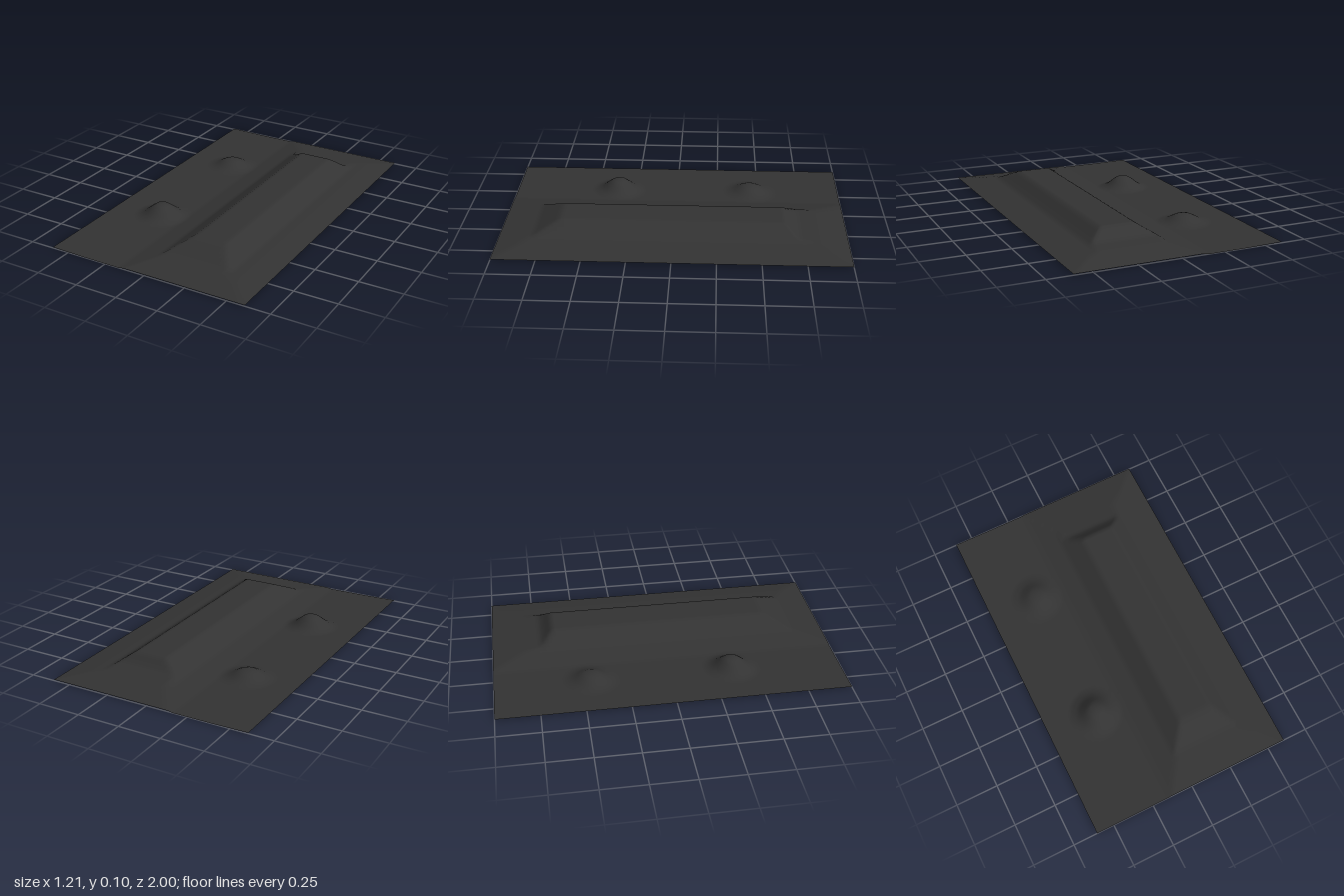
import * as THREE from 'three';

// Piecewise-linear profile through [position, height] points
function profile(points, t) {
  if (t <= points[0][0]) return points[0][1];
  for (let i = 1; i < points.length; i++) {
    const [a, ha] = points[i - 1];
    const [b, hb] = points[i];
    if (t <= b) return ha + (hb - ha) * (t - a) / (b - a);
  }
  return points[points.length - 1][1];
}

// Long raised ridge: cross-section and lengthwise section
const ridgeAcross = [[-0.6, 0.009], [-0.4, 0.005], [-0.16, 0.004], [-0.02, 0.034],
  [0.1, 0.108], [0.3, 0.108], [0.4, 0.037], [0.48, 0.029], [0.6, 0.01]];
const ridgeAlong = [[-1, 0.01], [-0.82, 0.037], [-0.71, 0.05], [-0.64, 0.108],
  [0.65, 0.108], [0.8, 0.04], [1, 0.01]];

// Two small round bumps: share of the full height by distance from the centre
const bumpSection = [[0, 1], [0.045, 0.87], [0.105, 0.22], [0.15, 0]];
const bumps = [{ x: -0.305, z: 0.365, h: 0.075 }, { x: -0.305, z: -0.45, h: 0.05 }];

function heightAt(x, z) {
  let y = Math.min(profile(ridgeAcross, x), profile(ridgeAlong, z));
  for (const b of bumps) y += b.h * profile(bumpSection, Math.hypot(x - b.x, z - b.z));
  return y;
}

export function createModel() {
  const group = new THREE.Group();
  group.name = 'drapedSheet';
  const cloth = new THREE.MeshStandardMaterial({ color: 0x333333, side: THREE.DoubleSide });
  cloth.name = 'charcoal cloth';

  // Thin sheet lifted by the ridge and the bumps
  const geometry = new THREE.PlaneGeometry(1.21, 2, 60, 100);
  geometry.rotateX(-Math.PI / 2);
  const pos = geometry.attributes.position;
  for (let i = 0; i < pos.count; i++) pos.setY(i, heightAt(pos.getX(i), pos.getZ(i)));
  geometry.computeBoundingBox();
  geometry.translate(0, -geometry.boundingBox.min.y, 0);
  geometry.computeVertexNormals();

  const sheet = new THREE.Mesh(geometry, cloth);
  sheet.name = 'sheet';
  group.add(sheet);
  return group;
}
